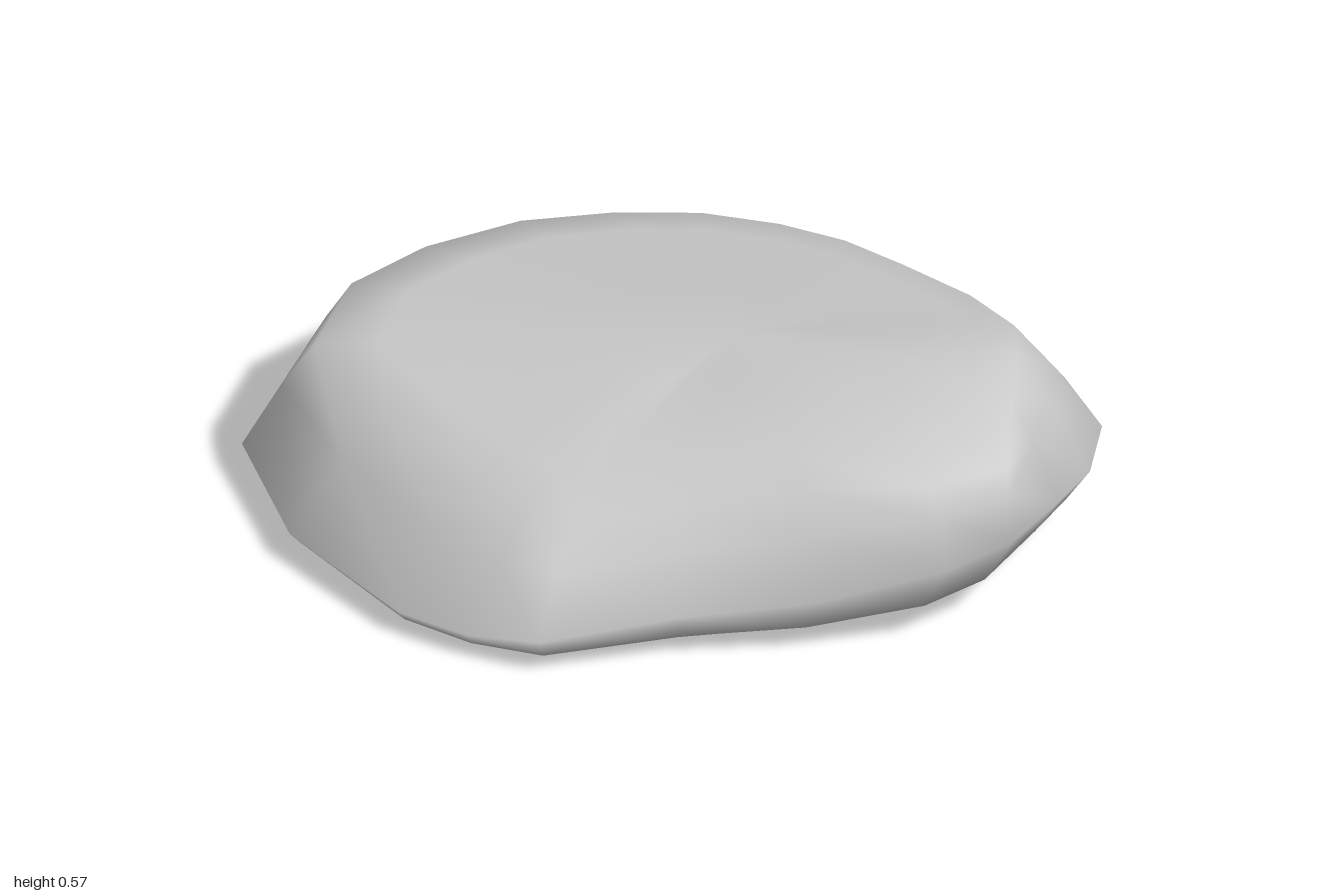
import * as THREE from 'three';
import { mergeVertices } from 'three/addons/utils/BufferGeometryUtils.js';

// Stations around the stone: widest edge [x, z, y], then top shoulder [x, z, y]
const stations = [
  [0.03, -0.97, 0.13, 0.05, -0.68, 0.455],
  [0.36, -0.96, 0.15, 0.3, -0.7, 0.485],
  [0.61, -0.88, 0.17, 0.5, -0.68, 0.51],
  [0.76, -0.72, 0.18, 0.63, -0.59, 0.53],
  [0.84, -0.55, 0.2, 0.77, -0.46, 0.53],
  [0.995, -0.28, 0.28, 0.955, -0.29, 0.48],
  [0.97, -0.08, 0.26, 0.89, -0.1, 0.465],
  [0.78, 0.2, 0.18, 0.67, 0.13, 0.435],
  [0.57, 0.47, 0.14, 0.46, 0.37, 0.38],
  [0.4, 0.79, 0.11, 0.3, 0.6, 0.33],
  [0.22, 0.88, 0.075, 0.18, 0.65, 0.34],
  [0.03, 0.95, 0.075, 0.02, 0.69, 0.365],
  [-0.4, 0.96, 0.09, -0.35, 0.69, 0.395],
  [-0.78, 0.81, 0.1, -0.66, 0.67, 0.41],
  [-0.95, 0.5, 0.11, -0.82, 0.42, 0.405],
  [-1, 0.2, 0.13, -0.83, 0.17, 0.405],
  [-0.96, -0.11, 0.14, -0.78, -0.1, 0.395],
  [-0.87, -0.38, 0.15, -0.67, -0.32, 0.385],
  [-0.73, -0.62, 0.15, -0.53, -0.49, 0.385],
  [-0.49, -0.83, 0.14, -0.35, -0.6, 0.4],
  [-0.23, -0.95, 0.13, -0.16, -0.66, 0.425],
];
const topCentre = new THREE.Vector3(0.1, 0.53, -0.1);
const baseCentre = new THREE.Vector3(-0.05, 0.01, 0);

// Shallow bowl of the underside
function baseHeight({ x, z }) {
  return Math.max(0, 0.01 - 0.03 * x - 0.02 * z + 0.04 * (x * x + z * z));
}

// Section from the base centre, round the edge, to the top centre
function section([ex, ez, ey, sx, sz, sy]) {
  const edge = new THREE.Vector3(ex, ey, ez);
  const shoulder = new THREE.Vector3(sx, sy, sz);
  // Higher edges overhang the base more
  const base = baseCentre.clone().lerp(edge, 1.01 - 1.1 * ey);
  base.y = baseHeight(base);
  const floor = baseCentre.clone().lerp(base, 0.6);
  floor.y = baseHeight(floor);
  const under = base.clone().lerp(edge, 0.72);
  under.y = THREE.MathUtils.lerp(base.y, ey, 0.42);
  const flank = edge.clone().lerp(shoulder, 0.55);
  flank.y += 0.015;
  // Top swells towards the right and front
  const crown = (t) => {
    const p = topCentre.clone().lerp(shoulder, t);
    p.y += t * (1 - t) * Math.max(0, 0.5 * p.x + 0.3 * p.z);
    return p;
  };
  return [baseCentre, floor, base, under, edge,
    flank, shoulder, crown(0.85), crown(0.6), crown(0.3), topCentre];
}

export function createModel() {
  const group = new THREE.Group();
  group.name = 'stone';
  const sections = stations.map(section);
  const n = sections.length;
  const rings = sections[0].length;
  const positions = [];
  sections.forEach((s) => s.forEach((p) => positions.push(p.x, p.y, p.z)));

  // Join neighbouring sections, with single triangles at both centres
  const index = [];
  for (let i = 0; i < n; i++) {
    for (let j = 0; j < rings - 1; j++) {
      const a = i * rings + j;
      const b = ((i + 1) % n) * rings + j;
      if (j < rings - 2) index.push(a, a + 1, b + 1);
      else index.push(a, a + 1, b);
      if (j > 0 && j < rings - 2) index.push(a, b + 1, b);
    }
  }
  let geometry = new THREE.BufferGeometry();
  geometry.setAttribute('position', new THREE.Float32BufferAttribute(positions, 3));
  geometry.setIndex(index);
  geometry = mergeVertices(geometry);
  geometry.computeVertexNormals();

  const stone = new THREE.Mesh(geometry, new THREE.MeshStandardMaterial({ color: 0xcccccc }));
  stone.name = 'stoneBody';
  group.add(stone);
  return group;
}
